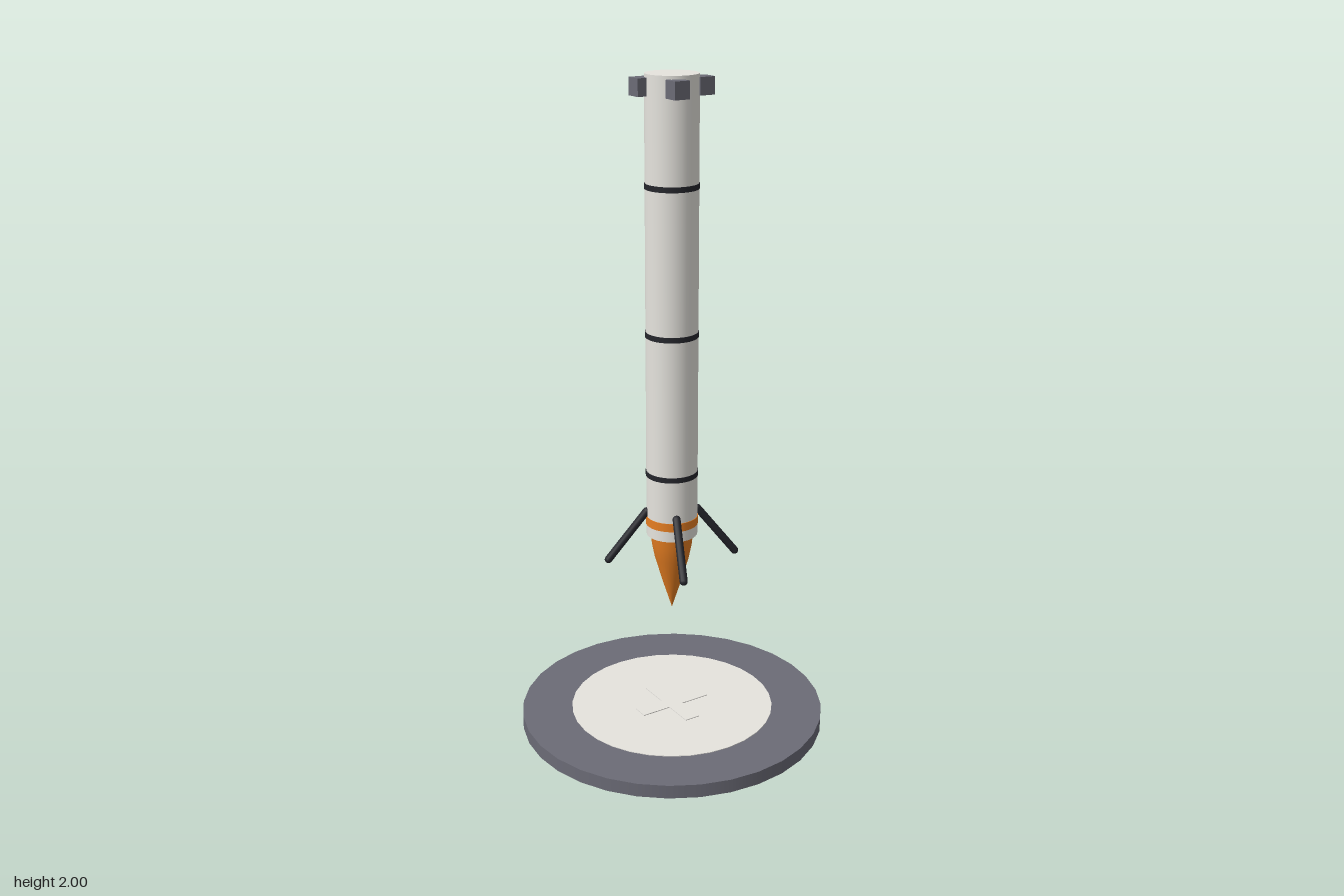
import * as THREE from 'three';

const mat = (name, color) => {
  const m = new THREE.MeshStandardMaterial({ color });
  m.name = name;
  return m;
};

export function createModel() {
  const white = mat('white', 0xe6e4de);
  const grey = mat('grey', 0x6b6b76);
  const dark = mat('charcoal', 0x25262c);
  const orange = mat('orange', 0xe67e22);

  const model = new THREE.Group();
  model.name = 'boosterAndLandingPad';
  const add = (name, geometry, material, x = 0, y = 0, z = 0) => {
    const mesh = new THREE.Mesh(geometry, material);
    mesh.name = name;
    mesh.position.set(x, y, z);
    model.add(mesh);
    return mesh;
  };
  // Upright cylinder given by its bottom and top heights
  const drum = (name, r, y0, y1, material, sides = 32) =>
    add(name, new THREE.CylinderGeometry(r, r, y1 - y0, sides), material, 0, (y0 + y1) / 2, 0);

  // Landing pad with painted disc and cross
  drum('landingPad', 0.47, 0, 0.042, grey);
  drum('padDisc', 0.315, 0.04, 0.044, white);
  add('padCrossX', new THREE.BoxGeometry(0.236, 0.004, 0.048), white, 0, 0.0445, 0);
  add('padCrossZ', new THREE.BoxGeometry(0.048, 0.004, 0.236), white, 0, 0.0445, 0);

  // Body and its bands
  drum('body', 0.077, 0.63, 2, white);
  for (const y of [0.828, 1.258, 1.69]) drum('bodyBand', 0.0785, y - 0.008, y + 0.008, dark);
  drum('engineBand', 0.079, 0.664, 0.69, orange);

  // Exhaust flame
  const flame = [[0, 0.38], [0.027, 0.465], [0.052, 0.55], [0.061, 0.595], [0.065, 0.635]];
  add('flame', new THREE.LatheGeometry(flame.map(([r, y]) => new THREE.Vector2(r, y)), 24), orange);

  // Four splayed legs and four control blocks, turned off the axes
  const up = new THREE.Vector3(0, 1, 0);
  for (let i = 0; i < 4; i++) {
    const a = Math.PI / 8 + i * Math.PI / 2;
    const c = Math.cos(a), s = Math.sin(a);
    const top = new THREE.Vector3(0.078 * c, 0.705, 0.078 * s);
    const foot = new THREE.Vector3(0.195 * c, 0.556, 0.195 * s);
    const span = top.clone().sub(foot);
    const leg = add('landingLeg', new THREE.CapsuleGeometry(0.012, span.length(), 4, 12), dark);
    leg.position.copy(top).add(foot).multiplyScalar(0.5);
    leg.quaternion.setFromUnitVectors(up, span.normalize());

    add('controlBlock', new THREE.BoxGeometry(0.048, 0.05, 0.048), grey, 0.087 * c, 1.965, 0.087 * s);
  }
  return model;
}
